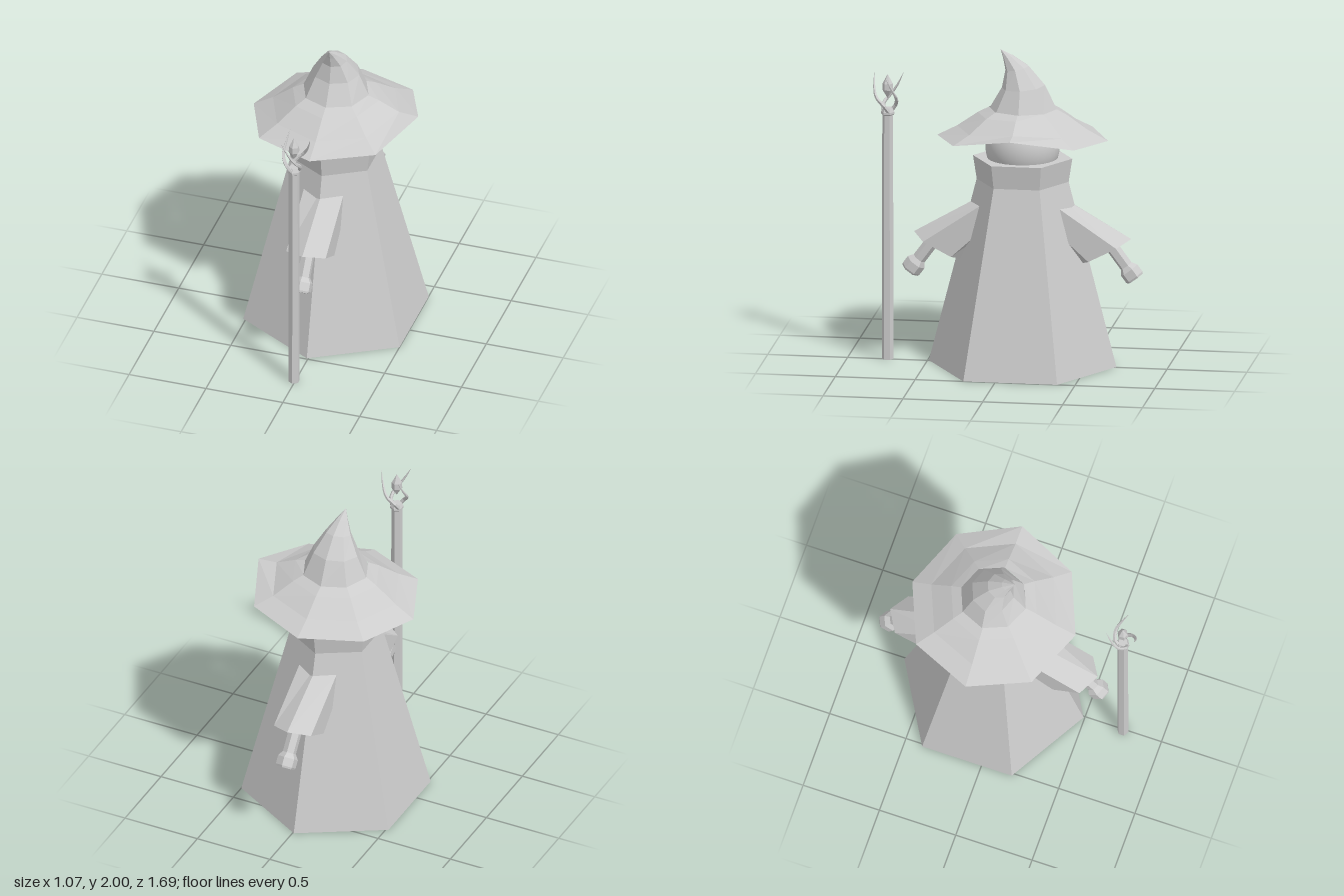
import * as THREE from 'three';

const V = (x, y, z) => new THREE.Vector3(x, y, z);
const AXIS_Z = -0.095; // robe, head, hat and arms share this axis

function part(name, geometry, { flat = true, double = false } = {}) {
  const material = new THREE.MeshStandardMaterial({
    color: 0xcccccc, flatShading: flat, side: double ? THREE.DoubleSide : THREE.FrontSide,
  });
  const mesh = new THREE.Mesh(geometry, material);
  mesh.name = name;
  return mesh;
}

// Skin a series of rings (counter-clockwise seen from the last one)
function loft(rings, capStart, capEnd) {
  const pos = [];
  const tri = (...pts) => pts.forEach((p) => pos.push(p.x, p.y, p.z));
  const n = rings[0].length;
  for (let k = 0; k < rings.length - 1; k++) {
    for (let i = 0; i < n; i++) {
      const j = (i + 1) % n, lo = rings[k], hi = rings[k + 1];
      tri(lo[i], lo[j], hi[j]);
      tri(lo[i], hi[j], hi[i]);
    }
  }
  const cap = (ring, flip) => {
    const c = ring.reduce((s, p) => s.add(p), V(0, 0, 0)).divideScalar(n);
    ring.forEach((p, i) => (flip ? tri(c, ring[(i + 1) % n], p) : tri(c, p, ring[(i + 1) % n])));
  };
  if (capStart) cap(rings[0], true);
  if (capEnd) cap(rings[rings.length - 1], false);
  const g = new THREE.BufferGeometry();
  g.setAttribute('position', new THREE.Float32BufferAttribute(pos, 3));
  g.computeVertexNormals();
  return g;
}

const octagon = (fn) => Array.from({ length: 8 }, (_, i) => fn(i * Math.PI / 4));
const lathe = (points, sides) =>
  new THREE.LatheGeometry(points.map(([r, y]) => new THREE.Vector2(r, y)), sides);

function makeHat() {
  const hat = new THREE.Group();
  hat.name = 'hat';

  // Brim: radius, height, lift on the left side, drop on the right side
  const brimRings = [
    [0.535, 1.44, 0.1, 0.025], [0.41, 1.505, 0.045, 0.015],
    [0.28, 1.595, 0.015, 0.005], [0.21, 1.632, 0, 0],
  ].map(([r, y, lift, drop]) => octagon((a) => {
    const s = Math.sin(a);
    const dy = s > 0 ? lift * s ** 4 : -drop * s ** 4;
    return V(r * s, y + dy, r * Math.cos(a));
  }));
  hat.add(part('hatBrim', loft(brimRings), { double: true }));

  // Crown: height, half width, half depth, forward shift, forward dip
  const crownRings = [
    [1.628, 0.212, 0.21, -0.005, 0], [1.77, 0.15, 0.135, -0.005, 0.012],
    [1.885, 0.083, 0.073, 0.035, 0.015], [1.95, 0.038, 0.034, 0.087, 0.01],
    [2.0, 0.001, 0.001, 0.137, 0],
  ].map(([y, rx, rz, shift, dip]) => octagon((a) =>
    V(rx * Math.sin(a), y - dip * Math.cos(a), shift + rz * Math.cos(a))));
  hat.add(part('hatCrown', loft(crownRings), { double: true }));
  return hat;
}

// Six-sided ring with points at top and bottom: [z, y] for top, upper, lower, bottom
function sleeveRing(w, [top, upper, lower, bottom]) {
  const at = (x, [z, y]) => V(x, y, z - AXIS_Z);
  return [at(0, top), at(-w, upper), at(-w, lower), at(0, bottom), at(w, lower), at(w, upper)];
}

function makeArm(name) {
  const arm = new THREE.Group();
  arm.name = name;
  const rings = [
    sleeveRing(0.128, [[0.14, 1.075], [0.14, 1.035], [0.11, 0.9], [0.09, 0.86]]),
    sleeveRing(0.128, [[0.585, 0.82], [0.51, 0.785], [0.335, 0.695], [0.26, 0.65]]),
  ];
  arm.add(part('sleeve', loft(rings, true, true)));

  const hand = part('hand', lathe(
    [[0, 0], [0.042, 0], [0.042, 0.19], [0.064, 0.222], [0.064, 0.275], [0.058, 0.287], [0, 0.287]], 6));
  hand.position.set(0, 0.8, 0.44 - AXIS_Z);
  hand.rotation.x = 2.505;
  arm.add(hand);
  return arm;
}

// Tapered, spiralling prong
function prongGeometry() {
  const path = new THREE.CatmullRomCurve3([
    [-150, 0.025, 1.57], [-100, 0.05, 1.62], [-55, 0.073, 1.67], [-25, 0.085, 1.73], [0, 0.105, 1.815],
  ].map(([deg, r, y]) => {
    const a = THREE.MathUtils.degToRad(deg);
    return V(r * Math.cos(a), y, r * Math.sin(a));
  }));
  const steps = 10, sides = 5;
  const g = new THREE.TubeGeometry(path, steps, 0.013, sides);
  const p = g.attributes.position, v = V(0, 0, 0);
  for (let i = 0; i < p.count; i++) {
    const t = Math.floor(i / (sides + 1)) / steps;
    v.fromBufferAttribute(p, i).lerp(path.getPointAt(t), t * t * 0.95);
    p.setXYZ(i, v.x, v.y, v.z);
  }
  return g;
}

function makeStaff() {
  const staff = new THREE.Group();
  staff.name = 'staff';
  staff.add(part('staffShaft', lathe(
    [[0, 0], [0.036, 0], [0.034, 1.555], [0.042, 1.562], [0.042, 1.575], [0.03, 1.6], [0, 1.6]], 6)));
  staff.add(part('crystal', lathe([[0, 1.66], [0.034, 1.715], [0.032, 1.755], [0, 1.815]], 6)));
  for (let i = 0; i < 3; i++) {
    const prong = part('staffProng', prongGeometry(), { double: true });
    prong.rotation.y = i * Math.PI * 2 / 3;
    staff.add(prong);
  }
  staff.position.z = 0.75;
  return staff;
}

export function createModel() {
  const model = new THREE.Group();
  const figure = new THREE.Group();
  figure.name = 'figure';
  figure.position.z = AXIS_Z;

  // Six-sided robe with a flared collar
  figure.add(part('robe', lathe([[0, 0], [0.587, 0], [0.288, 1.17]], 6)));
  figure.add(part('collar', lathe([[0.288, 1.17], [0.311, 1.318], [0, 1.318]], 6)));

  const head = part('head', new THREE.SphereGeometry(0.231, 32, 20), { flat: false });
  head.position.y = 1.39;
  figure.add(head, makeHat());

  // Matching arms reaching forward and back
  const backArm = makeArm('backArm');
  backArm.rotation.y = Math.PI;
  figure.add(makeArm('frontArm'), backArm);

  model.add(figure, makeStaff());
  model.children.forEach((c) => { c.position.x = -0.008; });
  return model;
}
